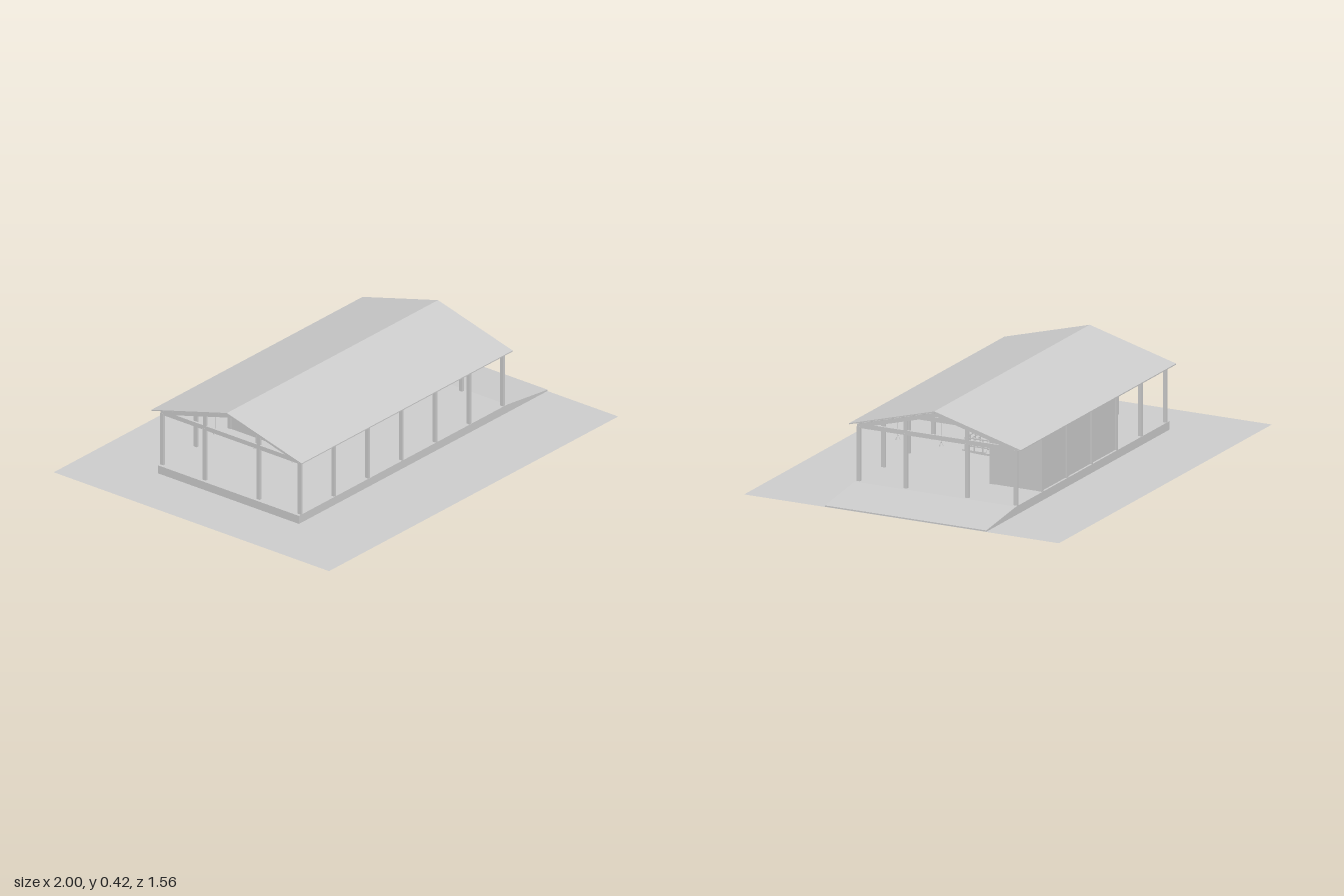
import * as THREE from 'three';

const mat = new THREE.MeshStandardMaterial({ color: 0xcccccc, flatShading: true });
const thin = new THREE.MeshStandardMaterial({ color: 0xcccccc, flatShading: true, side: THREE.DoubleSide });

export function createModel() {
  const model = new THREE.Group();
  const group = (name, parent = model) => {
    const g = new THREE.Group();
    g.name = name;
    parent.add(g);
    return g;
  };
  const add = (parent, name, geo, m = mat) => {
    const mesh = new THREE.Mesh(geo, m);
    mesh.name = name;
    parent.add(mesh);
    return mesh;
  };
  // Box given by its lower and upper limits
  const box = (parent, name, x0, x1, y0, y1, z0, z1) => {
    const mesh = add(parent, name, new THREE.BoxGeometry(x1 - x0, y1 - y0, z1 - z0));
    mesh.position.set((x0 + x1) / 2, (y0 + y1) / 2, (z0 + z1) / 2);
    return mesh;
  };
  // Square bar between two points
  const bar = (parent, name, a, b, w, h = w) => {
    const p = new THREE.Vector3(...a), q = new THREE.Vector3(...b);
    const mesh = add(parent, name, new THREE.BoxGeometry(w, h, p.distanceTo(q)));
    mesh.position.copy(p).add(q).multiplyScalar(0.5);
    mesh.lookAt(q);
    return mesh;
  };

  const FLOOR = 0.04, DECK = 0.178, RIDGE = -0.02;
  const bays = [-0.7, -0.467, -0.233, 0, 0.233, 0.467, 0.7];
  const rows = [0.37, 0.137, -0.168, -0.41];
  const roofY = z => 0.422 - 0.272 * Math.abs(z - RIDGE);

  // Ground sheet
  const ground = add(model, 'ground', new THREE.PlaneGeometry(2, 1.56), thin);
  ground.rotation.x = -Math.PI / 2;

  // Floor slab running into the entrance ramp
  const slab = new THREE.Shape([[-0.72, 0.001], [1, 0.001], [1, 0.007], [0.72, FLOOR], [-0.72, FLOOR]]
    .map(p => new THREE.Vector2(...p)));
  add(model, 'slabAndRamp', new THREE.ExtrudeGeometry(slab, { depth: 0.8, bevelEnabled: false })).position.z = -0.42;

  // Posts: full rows at the eaves, inner rows at the gables and along the room
  const posts = group('posts');
  bays.forEach((x, i) => rows.forEach((z, r) => {
    const gable = i === 0 || i === 6;
    const room = r === 2 && i >= 2 && i <= 5;
    if (r === 0 || r === 3 || gable || room)
      box(posts, 'post', x - 0.006, x + 0.006, FLOOR, 0.29, z - 0.009, z + 0.009);
  }));

  // Roof trusses
  const trusses = group('trusses');
  for (const x of bays) {
    box(trusses, 'bottomChord', x - 0.005, x + 0.005, 0.284, 0.305, -0.41, 0.37);
    for (const z of [0.37, -0.41])
      bar(trusses, 'rafter', [x, roofY(z) - 0.022, z], [x, roofY(RIDGE) - 0.022, RIDGE], 0.01, 0.02);
    for (const z of [0.137, -0.168])
      box(trusses, 'strut', x - 0.005, x + 0.005, 0.3, roofY(z) - 0.02, z - 0.009, z + 0.009);
  }

  // Eaves beams and purlins
  const beams = group('beams');
  for (const z of [0.37, -0.41]) box(beams, 'eavesBeam', -0.705, 0.705, 0.284, 0.303, z - 0.006, z + 0.006);
  for (const side of [1, -1])
    for (let i = 0; i < 8; i++) {
      const z = RIDGE + side * (0.01 + i * 0.052);
      box(beams, 'purlin', -0.72, 0.72, roofY(z) - 0.012, roofY(z) - 0.005, z - 0.004, z + 0.004);
    }

  // Gabled roof sheet
  const zs = [0.403, RIDGE, -0.448];
  const top = zs.map(z => new THREE.Vector2(-z, roofY(z)));
  const under = zs.map(z => new THREE.Vector2(-z, roofY(z) - 0.005)).reverse();
  const roof = add(model, 'roof', new THREE.ExtrudeGeometry(new THREE.Shape([...top, ...under]),
    { depth: 1.46, bevelEnabled: false }));
  roof.rotation.y = Math.PI / 2;
  roof.position.x = -0.73;

  // Room with an open upper gallery
  const room = group('room');
  box(room, 'backWall', -0.235, 0.47, FLOOR, 0.285, -0.41, -0.402);
  box(room, 'frontWall', -0.235, 0.47, FLOOR, 0.165, -0.178, -0.17);
  for (const x of [-0.235, 0.462]) box(room, 'endWall', x, x + 0.008, FLOOR, 0.285, -0.41, -0.17);
  box(room, 'galleryFloor', -0.235, 0.47, 0.166, DECK, -0.405, -0.165);

  // Balcony with a bowed underside
  const deck = new THREE.Shape();
  deck.moveTo(0.165, 0.166);
  deck.quadraticCurveTo(0.09, 0.164, 0.02, DECK - 0.005);
  deck.lineTo(0.02, DECK);
  deck.lineTo(0.165, DECK);
  const balcony = add(model, 'balconyFloor', new THREE.ExtrudeGeometry(deck,
    { depth: 0.705, bevelEnabled: false, curveSegments: 8 }));
  balcony.rotation.y = Math.PI / 2;
  balcony.position.x = -0.235;

  // Railing with uprights and three rails along a straight run
  const railing = (name, a, b, count) => {
    const g = group(name);
    const at = (t, up) => [0, 1, 2].map(k => a[k] + (b[k] - a[k]) * t + (k === 1 ? up : 0));
    for (let i = 0; i <= count; i++) bar(g, 'upright', at(i / count, 0), at(i / count, 0.057), 0.005);
    for (const h of [0.02, 0.038, 0.056]) bar(g, 'rail', at(0, h), at(1, h), 0.005);
  };
  railing('balconyFrontRailing', [-0.233, DECK, -0.035], [0.467, DECK, -0.035], 15);
  for (const x of [-0.233, 0.467]) railing('balconySideRailing', [x, DECK, -0.035], [x, DECK, -0.165], 3);

  // Staircase beside the room
  const stairs = group('stairs');
  const steps = 12, z0 = -0.015, z1 = -0.225;
  for (let i = 1; i <= steps; i++) {
    const y = FLOOR + (DECK - FLOOR) * i / steps, z = z0 + (z1 - z0) * (i - 0.5) / steps;
    box(stairs, 'tread', -0.298, -0.24, y - 0.004, y, z - 0.01, z + 0.01);
  }
  for (const x of [-0.298, -0.24]) {
    bar(stairs, 'stringer', [x, FLOOR + 0.006, z0], [x, DECK - 0.006, z1], 0.005, 0.01);
    railing('stairRailing', [x, FLOOR, z0], [x, DECK, z1], 5);
  }
  box(stairs, 'landing', -0.3, -0.235, DECK - 0.01, DECK, -0.29, -0.225);
  railing('landingRailing', [-0.298, DECK, -0.225], [-0.298, DECK, -0.29], 2);

  // Board hung above the balcony rail
  const board = group('hangingBoard');
  const outline = new THREE.Shape([[-0.012, 0.222], [0.245, 0.222], [0.232, 0.262], [0.005, 0.262]]
    .map(p => new THREE.Vector2(...p)));
  add(board, 'board', new THREE.ExtrudeGeometry(outline, { depth: 0.006, bevelEnabled: false })).position.z = -0.031;
  for (const x of [0.02, 0.215]) bar(board, 'hanger', [x, 0.26, -0.028], [x, 0.4, -0.028], 0.004);

  // Pendant lamps
  const lamps = group('pendantLamps');
  const lamp = (x, y, z) => {
    add(lamps, 'lampShade', new THREE.CylinderGeometry(0.003, 0.011, 0.016, 12, 1, true), thin).position.set(x, y, z);
    bar(lamps, 'lampCord', [x, y + 0.006, z], [x, roofY(z) - 0.01, z], 0.002);
  };
  for (const x of [-0.59, -0.355, 0.57])
    for (const z of [0.245, 0.03, -0.2]) lamp(x, 0.22, z);
  for (const x of [-0.355, -0.12, 0.115, 0.345]) lamp(x, x < -0.3 ? 0.22 : 0.285, x < -0.3 ? 0.245 : -0.105);

  return model;
}
